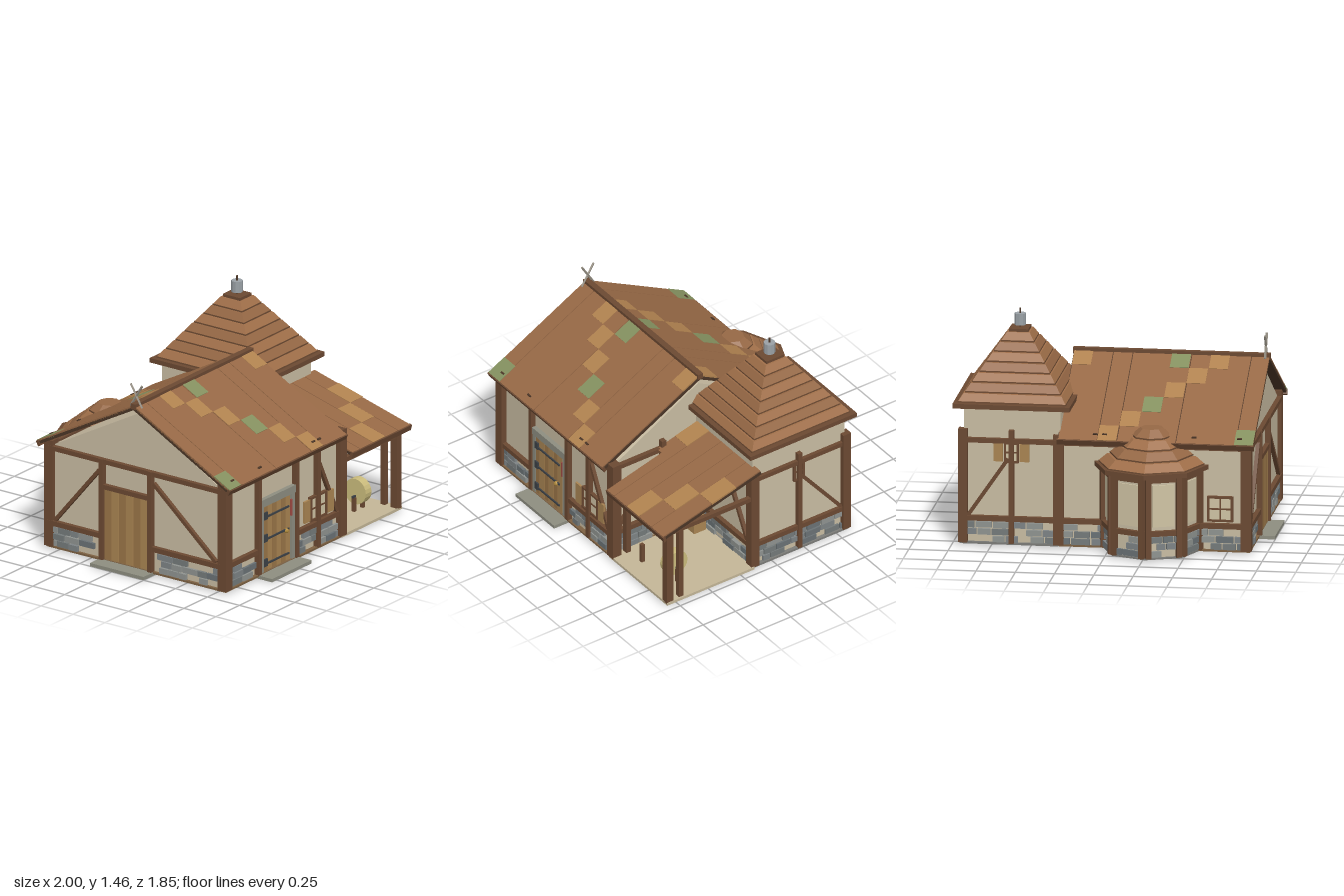
import * as THREE from 'three';

const C = { wall: 0xc8bca2, timber: 0x6b4932, dark: 0x4a3526, roof: 0x966845, patch: 0xb0824f, moss: 0x84905f,
  plank: 0xa98452, step: 0x8d8d80, iron: 0x3c4146, tan: 0xc4b697, pane: 0xcfc3a4, straw: 0xcabb7c, slate: 0x7c7c78 };
const mats = {};
const mat = (c) => (mats[c] ??= new THREE.MeshStandardMaterial({ color: c, flatShading: true }));
let seed = 7;
const rand = () => (seed = (seed * 16807) % 2147483647) / 2147483647;

function add(parent, name, geo, color, x = 0, y = 0, z = 0) {
  const m = new THREE.Mesh(geo, mat(color));
  m.name = name;
  m.position.set(x, y, z);
  parent.add(m);
  return m;
}
// box given by its ranges on each axis
const span = (p, name, x0, x1, y0, y1, z0, z1, color) =>
  add(p, name, new THREE.BoxGeometry(x1 - x0, y1 - y0, z1 - z0), color, (x0 + x1) / 2, (y0 + y1) / 2, (z0 + z1) / 2);

// square timber between two points of the parent's space
function beam(p, name, a, b, t, color = C.timber) {
  const A = new THREE.Vector3(...a), dir = new THREE.Vector3(...b).sub(A), len = dir.length();
  const m = add(p, name, new THREE.BoxGeometry(len, t, t), color);
  m.position.copy(A).addScaledVector(dir, 0.5);
  m.quaternion.setFromUnitVectors(new THREE.Vector3(1, 0, 0), dir.normalize());
}
function group(parent, name, x = 0, y = 0, z = 0, ry = 0) {
  const g = new THREE.Group();
  g.name = name;
  g.position.set(x, y, z);
  g.rotation.y = ry;
  parent.add(g);
  return g;
}

// rows of rough stones along a wall foot, leaving out a doorway range
function stones(g, x0, x1, gap) {
  const tones = [0x7d8385, 0x6a7275, 0x8f9390, 0x747a7a];
  for (let r = 0; r < 3; r++) {
    for (let x = x0 + 0.005; x < x1 - 0.03;) {
      const w = Math.min(0.06 + rand() * 0.07, x1 - x);
      const blocked = gap && x + w > gap[0] && x < gap[1];
      if (!blocked && rand() > 0.18)
        span(g, 'stone', x, x + w - 0.009, 0.026 + r * 0.046, 0.064 + r * 0.046, 0, 0.016 + rand() * 0.008, tones[Math.floor(rand() * 4)]);
      x += w;
    }
  }
}

// timber frame on one wall; local +z points outward
function framedWall(root, name, x, z, ry, x0, x1, posts, braces, gap, top = 0.7) {
  const g = group(root, name, x, 0, z, ry);
  stones(g, x0, x1, gap);
  const runs = gap ? [[x0, gap[0]], [gap[1], x1]] : [[x0, x1]];
  for (const [a, b] of runs) span(g, 'sill', a, b, 0.163, 0.196, 0, 0.03, C.timber);
  span(g, 'topBeam', x0, x1, 0.67, 0.7, 0, 0.03, C.timber);
  for (const px of posts) span(g, 'post', px - 0.016, px + 0.016, 0.02, top, 0, 0.035, C.timber);
  for (const [ax, ay, bx, by] of braces) beam(g, 'brace', [ax, ay, 0.012], [bx, by, 0.012], 0.024);
  return g;
}

function windowUnit(p, x, y, w, h, shutter) {
  const g = group(p, 'window', x, y, 0.012);
  span(g, 'pane', -w / 2, w / 2, -h / 2, h / 2, -0.01, 0.004, C.pane);
  for (const s of [-1, 1]) {
    add(g, 'frameSide', new THREE.BoxGeometry(0.014, h + 0.014, 0.025), C.timber, s * w / 2);
    add(g, 'frameRail', new THREE.BoxGeometry(w, 0.014, 0.025), C.timber, 0, s * h / 2);
    if (shutter) add(g, 'shutter', new THREE.BoxGeometry(shutter, h - 0.005, 0.014), C.plank, s * (w / 2 + shutter / 2 + 0.014), 0, 0.006);
  }
  add(g, 'mullion', new THREE.BoxGeometry(0.01, h, 0.018), C.timber);
  add(g, 'mullion', new THREE.BoxGeometry(w, 0.01, 0.018), C.timber);
}

function door(p, x, w, h) {
  const g = group(p, 'door', x, 0.03, 0.01);
  const n = 6;
  for (let i = 0; i < n; i++)
    span(g, 'doorPlank', -w / 2 + i * w / n, -w / 2 + (i + 1) * w / n - 0.005, 0, h, -0.01, 0.012, i % 2 ? C.plank : 0x9a7547);
  return g;
}

// sloping plank roof running down from (ridgeY, ridgeZ); dir is +1 to the front, -1 to the back
function slope(root, name, ridgeZ, ridgeY, run, drop, dir, edges, x0, colW, rows, patches) {
  const g = group(root, name, 0, ridgeY, ridgeZ, dir < 0 ? Math.PI : 0);
  g.rotation.order = 'YXZ';
  g.rotation.x = Math.atan2(drop, run);
  const L = Math.hypot(run, drop);
  const slab = (n, a, b, y0, y1, z0, z1, c) => span(g, n, Math.min(a * dir, b * dir), Math.max(a * dir, b * dir), y0, y1, z0, z1, c);
  slab('roofUnderlay', edges[0], edges[edges.length - 1], -0.015, 0.005, 0, L - 0.005, C.dark);
  for (let i = 0; i + 1 < edges.length; i++) slab('roofPlank', edges[i], edges[i + 1] - 0.005, 0, 0.014, 0, L, C.roof);
  for (const [c, r, color] of patches)
    slab('roofPatch', x0 + c * colW, x0 + (c + 1) * colW - 0.004, 0, 0.0165, r * L / rows, (r + 1) * L / rows, color);
  slab('eaveBoard', edges[0] - 0.005, edges[edges.length - 1] + 0.005, -0.026, 0.012, L - 0.012, L + 0.008, C.timber);
  return { slab, L };
}

// stepped roof of overlapping tiers with the given number of sides
function tiers(p, n, sides, y0, y1, r0, r1, turn) {
  const h = (y1 - y0) / n, step = (r0 - r1) / (n - 1);
  for (let i = 0; i < n; i++) {
    const r = r0 - step * i;
    const t = add(p, 'roofTier', new THREE.CylinderGeometry(r - step * 0.8, r, h * 0.85, sides), i % 2 ? C.roof : 0xa06f49, 0, y0 + h * (i + 0.55), 0);
    const s = add(p, 'tierEdge', new THREE.CylinderGeometry(r, r, h * 0.16, sides), 0x6f4c33, 0, y0 + h * (i + 0.1), 0);
    t.rotation.y = s.rotation.y = turn;
  }
}

export function createModel() {
  const root = new THREE.Group();
  root.name = 'cottage';
  seed = 7;

  // house body with gables
  const gable = new THREE.Shape([[0.79, 0.02], [0.79, 0.685], [0.125, 1.062], [-0.57, 0.685], [-0.57, 0.02]].map((q) => new THREE.Vector2(...q)));
  const body = add(root, 'houseWalls', new THREE.ExtrudeGeometry(gable, { depth: 1.19, bevelEnabled: false }), C.wall, 0.31);
  body.rotation.y = -Math.PI / 2;
  span(root, 'houseFloor', -0.9, 0.33, 0.012, 0.025, -0.585, 0.82, 0x7d6142);
  span(root, 'frontStep', -0.55, -0.13, 0, 0.022, 0.79, 0.925, C.step);
  span(root, 'sideStep', -1, -0.87, 0, 0.022, -0.17, 0.25, C.step);

  // front wall
  const front = framedWall(root, 'frontFrame', 0, 0.79, 0, -0.88, 0.32, [-0.537, -0.14, 0.09], [[0.1, 0.6, 0.3, 0.19]], [-0.53, -0.14]);
  windowUnit(front, 0.1, 0.29, 0.16, 0.15, 0.06);
  const fd = door(front, -0.345, 0.29, 0.435);
  for (const y of [0.03, 0.195, 0.345]) {
    span(fd, 'hingeStrap', -0.145, 0.12, y + 0.01, y + 0.022, 0.01, 0.02, C.iron);
    span(fd, 'hinge', -0.145, -0.11, y, y + 0.05, 0.01, 0.022, C.iron);
  }
  add(fd, 'knob', new THREE.SphereGeometry(0.016, 8, 6), 0xb08a3c, 0.09, 0.205, 0.02);
  span(front, 'redTag', -0.205, -0.192, 0.32, 0.43, 0.02, 0.03, 0xa04a42);
  span(front, 'lintel', -0.52, -0.155, 0.465, 0.515, 0, 0.03, C.step);
  for (const x of [-0.504, -0.175]) span(front, 'doorJamb', x - 0.016, x + 0.016, 0.02, 0.47, 0, 0.025, C.step);

  // left gable, back and right sides of the house
  const side = framedWall(root, 'gableFrame', -0.88, 0, -Math.PI / 2, -0.57, 0.79, [-0.15, 0.23],
    [[-0.52, 0.2, -0.17, 0.62], [0.74, 0.2, 0.25, 0.62]], [-0.14, 0.22]);
  door(side, 0.04, 0.34, 0.47);
  span(side, 'lintel', -0.14, 0.22, 0.5, 0.53, 0, 0.03, C.timber);
  const back = framedWall(root, 'backFrame', 0, -0.57, Math.PI, -0.32, 0.88, [], [], null);
  windowUnit(back, 0.71, 0.29, 0.15, 0.15, 0);
  framedWall(root, 'porchSideFrame', 0.31, 0, Math.PI / 2, -0.79, -0.14, [-0.41],
    [[-0.76, 0.2, -0.43, 0.61], [-0.15, 0.32, -0.39, 0.61]], null, 0.75);
  for (const [x, z] of [[-0.875, 0.795], [0.342, 0.795], [-0.875, -0.565], [0.32, -0.565]])
    span(root, 'cornerPost', x - 0.033, x + 0.033, 0.02, 0.735, z - 0.033, z + 0.033, C.timber);

  // main roof: two slopes, same patchwork on both
  const patches = [[0, 5, C.moss], [7, 5, C.patch], [6, 4, C.patch], [5, 3, C.moss], [4, 2, C.patch], [3, 1, C.patch], [4, 0, C.moss], [2, 0, C.patch], [9, 0, C.patch]];
  for (const dir of [1, -1]) {
    const { slab, L } = slope(root, 'mainRoof', 0.115, 1.11, 0.748, 0.4, dir, [-0.925, -0.81, -0.43, -0.055, 0.07, 0.32], -0.925, 0.1245, 6, patches);
    for (const x of [-0.85, -0.56, 0.01, 0.07]) slab('peg', x, x + 0.03, 0, 0.022, L - 0.06, L - 0.048, C.dark);
  }
  span(root, 'ridgeBeam', -0.93, 0.325, 1.1, 1.136, 0.095, 0.135, C.timber);
  for (const s of [-1, 1]) beam(root, 'crossedFinial', [-0.9, 1.11, 0.12 - s * 0.045], [-0.9, 1.258, 0.12 + s * 0.045], 0.011, 0x9a9488);

  // square tower
  span(root, 'towerWalls', 0.31, 0.925, 0.02, 0.9, -0.57, 0.14, C.wall);
  span(root, 'towerFloor', 0.32, 0.95, 0.01, 0.025, -0.585, 0.15, C.slate);
  span(root, 'floorHatch', 0.6, 0.67, 0.003, 0.012, -0.33, -0.16, C.slate);
  const te = framedWall(root, 'towerRightFrame', 0.92, 0, Math.PI / 2, -0.14, 0.57, [0.21], [[0.23, 0.57, 0.54, 0.19]], null, 0.755);
  windowUnit(te, 0.21, 0.61, 0.07, 0.12, 0);
  const tb = framedWall(root, 'towerBackFrame', 0, -0.57, Math.PI, -0.92, -0.32, [-0.62], [[-0.64, 0.57, -0.9, 0.19]], null, 0.755);
  windowUnit(tb, -0.62, 0.61, 0.08, 0.12, 0.06);
  framedWall(root, 'towerFrontFrame', 0, 0.14, 0, 0.33, 0.92, [], [[0.36, 0.2, 0.53, 0.6], [0.9, 0.18, 0.67, 0.6]], null);
  for (const z of [0.14, -0.57]) span(root, 'towerPost', 0.9, 0.958, 0.02, 0.755, z - 0.03, z + 0.03, C.timber);
  const roof = group(root, 'towerRoof', 0.618, 0, -0.21);
  roof.scale.x = 0.91;
  add(roof, 'eave', new THREE.BoxGeometry(0.82, 0.03, 0.82), C.timber, 0, 0.907);
  tiers(roof, 7, 4, 0.922, 1.32, 0.378 * Math.SQRT2, 0.115 * Math.SQRT2, Math.PI / 4);
  add(roof, 'cap', new THREE.BoxGeometry(0.135, 0.024, 0.135), C.timber, 0, 1.325);
  add(root, 'chimneyPot', new THREE.CylinderGeometry(0.037, 0.037, 0.075, 10), 0x9aa1a6, 0.617, 1.388, -0.21);
  add(root, 'chimneyRod', new THREE.CylinderGeometry(0.006, 0.006, 0.13, 6), C.dark, 0.617, 1.393, -0.21);

  // eight-sided bay on the back wall
  const bay = group(root, 'bay', -0.27, 0, -0.555);
  add(bay, 'bayWalls', new THREE.CylinderGeometry(0.3, 0.3, 0.53, 8), C.wall, 0, 0.285);
  add(bay, 'bayFloor', new THREE.CylinderGeometry(0.315, 0.315, 0.012, 8), C.slate, 0, 0.017);
  for (const k of [-1.5, -0.5, 0.5, 1.5]) {
    const a = Math.PI + k * Math.PI / 4;
    const f = group(bay, 'bayFacet', 0.277 * Math.sin(a), 0, 0.277 * Math.cos(a), a);
    stones(f, -0.115, 0.115);
    span(f, 'sill', -0.118, 0.118, 0.163, 0.196, 0, 0.03, C.timber);
    span(f, 'head', -0.118, 0.118, 0.51, 0.54, 0, 0.03, C.timber);
    span(f, 'bayPane', -0.07, 0.07, 0.22, 0.49, 0, 0.01, C.pane);
    for (const s of [-1, 1]) span(f, 'bayPost', s * 0.1 - 0.017, s * 0.1 + 0.017, 0.02, 0.55, 0, 0.034, C.timber);
  }
  add(bay, 'bayEave', new THREE.CylinderGeometry(0.37, 0.37, 0.03, 8), C.timber, 0, 0.558);
  tiers(bay, 4, 8, 0.57, 0.8, 0.345, 0.13, 0);

  // open porch with lean-to roof
  const porch = group(root, 'porch');
  span(porch, 'porchFloor', 0.33, 0.965, 0.01, 0.028, 0.15, 0.825, C.tan);
  const lean = slope(porch, 'porchRoof', 0.12, 0.77, 0.75, 0.2, 1, [0.375, 0.456, 0.591, 0.726, 0.861, 0.992], 0.322, 0.1345, 4,
    [[0, 0, C.patch], [4, 1, C.patch], [3, 2, C.patch], [2, 3, C.patch]]);
  lean.slab('roofPlank', 0.322, 0.38, -0.01, 0.014, 0, 0.34, C.roof);
  for (const x of [0.36, 0.935]) span(porch, 'porchPost', x - 0.018, x + 0.018, 0.02, 0.57, 0.692, 0.725, C.timber);
  span(porch, 'porchPost', 0.91, 0.96, 0.02, 0.56, 0.775, 0.825, C.timber);
  span(porch, 'porchBeam', 0.33, 0.96, 0.5, 0.53, 0.78, 0.815, C.timber);
  span(porch, 'porchBeam', 0.92, 0.95, 0.535, 0.565, 0.14, 0.8, C.timber);
  span(porch, 'crate', 0.37, 0.46, 0.028, 0.14, 0.17, 0.26, C.plank);

  // grindstone on its stand, and a low stump post
  const wheel = add(porch, 'grindstone', new THREE.CylinderGeometry(0.085, 0.085, 0.06, 20), C.straw, 0.76, 0.155, 0.63);
  wheel.rotation.z = Math.PI / 2;
  for (const x of [0.715, 0.805]) span(porch, 'wheelStand', x - 0.01, x + 0.01, 0.028, 0.12, 0.62, 0.645, C.timber);
  beam(porch, 'axle', [0.7, 0.125, 0.632], [0.82, 0.125, 0.632], 0.014, C.iron);
  span(porch, 'stumpPost', 0.49, 0.515, 0.028, 0.16, 0.68, 0.705, C.timber);
  return root;
}
